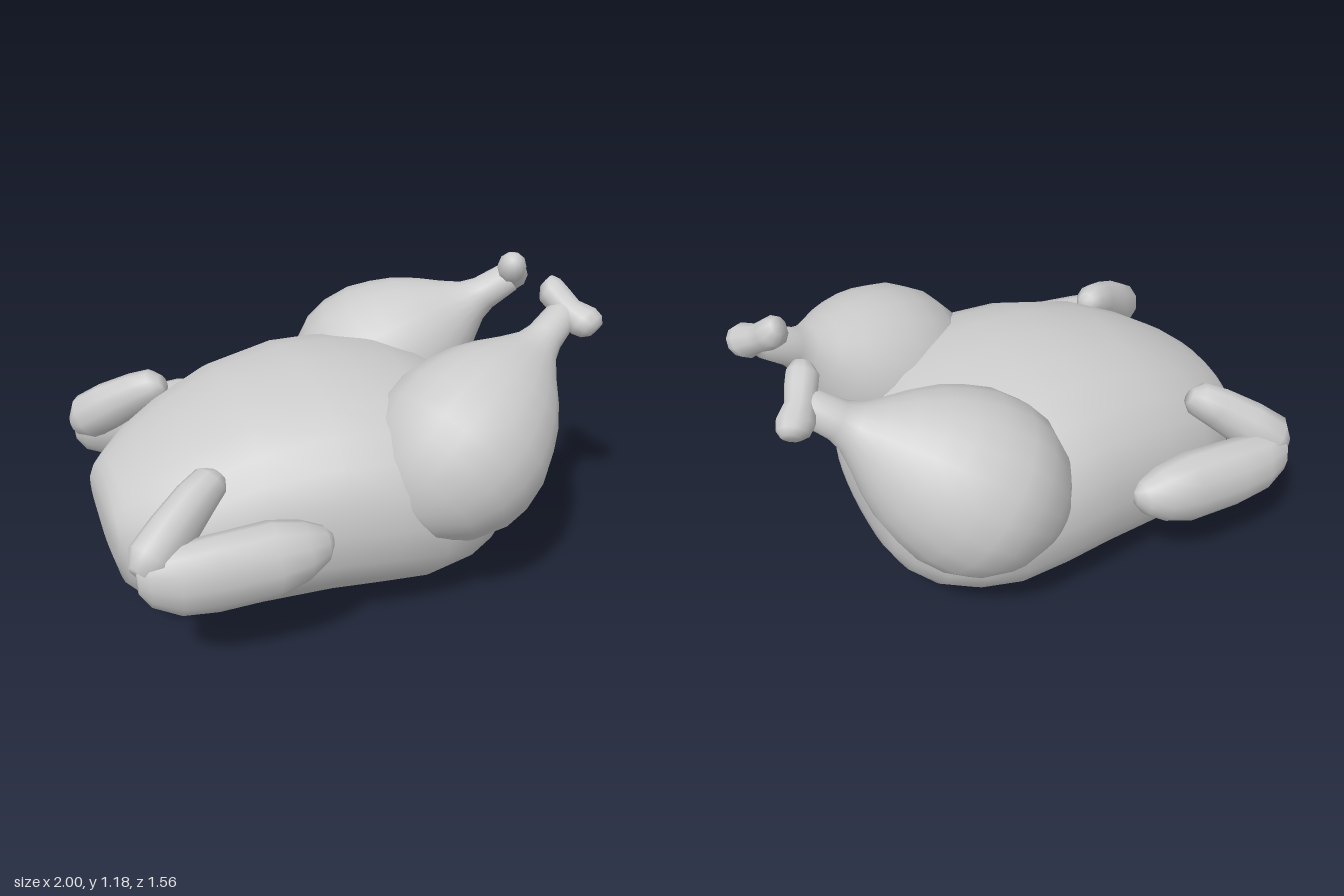
import * as THREE from 'three';

const material = new THREE.MeshStandardMaterial({ color: 0xcccccc });

// Skin over cross-sections [x, y, z, sideRadius, upRadius], perpendicular to the overall direction.
// power > 2 makes the sections squarer; both ends are closed to their centres.
function loft(name, rings, { side = 1, segments = 16, power = 2 } = {}) {
  const sections = rings.map(([x, y, z, a, b = a]) => ({ c: new THREE.Vector3(x, y, z * side), a, b }));
  const first = sections[0], last = sections[sections.length - 1];
  sections.unshift({ c: first.c, a: 0, b: 0 });
  sections.push({ c: last.c, a: 0, b: 0 });

  const along = last.c.clone().sub(first.c).normalize();
  const u = along.clone().cross(new THREE.Vector3(0, 1, 0)).normalize();
  const v = u.clone().cross(along);
  const bulge = (t) => Math.sign(t) * Math.abs(t) ** (2 / power);

  const positions = [], index = [];
  sections.forEach(({ c, a, b }, j) => {
    for (let i = 0; i < segments; i++) {
      const angle = (i / segments) * Math.PI * 2;
      const p = c.clone()
        .addScaledVector(u, a * bulge(Math.cos(angle)))
        .addScaledVector(v, b * bulge(Math.sin(angle)));
      positions.push(p.x, p.y, p.z);
      if (j === sections.length - 1) continue;
      const k = (i + 1) % segments;
      const p0 = j * segments + i, p1 = p0 + segments;
      const q0 = j * segments + k, q1 = q0 + segments;
      if (j > 0) index.push(p0, p1, q0);
      if (j < sections.length - 2) index.push(p1, q1, q0);
    }
  });
  const geometry = new THREE.BufferGeometry();
  geometry.setAttribute('position', new THREE.Float32BufferAttribute(positions, 3));
  geometry.setIndex(index);
  geometry.computeVertexNormals();
  const mesh = new THREE.Mesh(geometry, material);
  mesh.name = name;
  return mesh;
}

// Plump carcass: [x, bottom, top, half width]
function createBody() {
  const profile = [
    [-1, 0.38, 0.52, 0.2], [-0.98, 0.26, 0.57, 0.26], [-0.95, 0.15, 0.61, 0.3],
    [-0.85, 0.06, 0.69, 0.41], [-0.7, 0.02, 0.78, 0.49], [-0.48, 0.012, 0.88, 0.56],
    [-0.2, 0.03, 0.93, 0.62], [0, 0.025, 0.92, 0.65], [0.2, 0.008, 0.89, 0.65],
    [0.36, 0.035, 0.83, 0.61], [0.48, 0.07, 0.75, 0.53], [0.57, 0.14, 0.65, 0.42],
    [0.615, 0.22, 0.56, 0.32], [0.63, 0.3, 0.48, 0.2],
  ];
  const rings = profile.map(([x, low, high, w]) => [x, (low + high) / 2, 0, w, (high - low) / 2]);
  return loft('body', rings, { segments: 24, power: 2.25 });
}

// Drumstick: teardrop thigh tapering to a shank, with a forked knuckle at the end
function createLeg(side) {
  const leg = new THREE.Group();
  const start = new THREE.Vector3(0.3, 0.635, 0.435);
  const axis = new THREE.Vector3(0.8, 1.0, 0.25).sub(start).normalize();
  const profile = [
    [-0.34, 0.06], [-0.31, 0.15], [-0.22, 0.26], [-0.1, 0.33], [0, 0.35], [0.12, 0.343],
    [0.22, 0.31], [0.31, 0.27], [0.4, 0.21], [0.48, 0.145], [0.55, 0.095], [0.61, 0.075], [0.74, 0.065],
  ];
  const rings = profile.map(([t, r]) => [...start.clone().addScaledVector(axis, t).toArray(), r]);
  leg.add(loft('drumstick', rings, { side, segments: 20 }));
  leg.add(loft('knuckle', [
    [0.835, 1.16, 0.135, 0.035], [0.845, 1.13, 0.155, 0.06], [0.865, 1.1, 0.19, 0.06],
    [0.89, 1.065, 0.24, 0.055], [0.925, 1.035, 0.29, 0.07], [0.945, 1.02, 0.32, 0.06], [0.96, 1.01, 0.335, 0.035],
  ], { side, segments: 10 }));
  return leg;
}

// Folded wing: thick lower segment along the flank and a thinner one folded back up
function createWing(side) {
  const wing = new THREE.Group();
  wing.add(loft('lowerWing', [
    [-0.985, 0.48, 0.61, 0.025, 0.05], [-0.95, 0.475, 0.61, 0.07, 0.1], [-0.85, 0.46, 0.62, 0.1, 0.135],
    [-0.72, 0.46, 0.625, 0.11, 0.148], [-0.5, 0.47, 0.63, 0.115, 0.15], [-0.38, 0.475, 0.625, 0.1, 0.115],
    [-0.3, 0.48, 0.62, 0.065, 0.07], [-0.27, 0.485, 0.615, 0.02, 0.03],
  ], { side, segments: 12 }));
  wing.add(loft('upperWing', [
    [-0.975, 0.5, 0.61, 0.05], [-0.93, 0.535, 0.59, 0.09, 0.1], [-0.84, 0.6, 0.535, 0.085, 0.1],
    [-0.73, 0.675, 0.465, 0.075, 0.085], [-0.66, 0.715, 0.425, 0.065, 0.07], [-0.63, 0.725, 0.41, 0.035],
  ], { side, segments: 10 }));
  return wing;
}

export function createModel() {
  const model = new THREE.Group();
  model.name = 'roastChicken';
  model.add(createBody());
  for (const [label, side] of [['left', 1], ['right', -1]]) {
    const leg = createLeg(side), wing = createWing(side);
    leg.name = `${label}Leg`;
    wing.name = `${label}Wing`;
    model.add(leg, wing);
  }
  return model;
}
